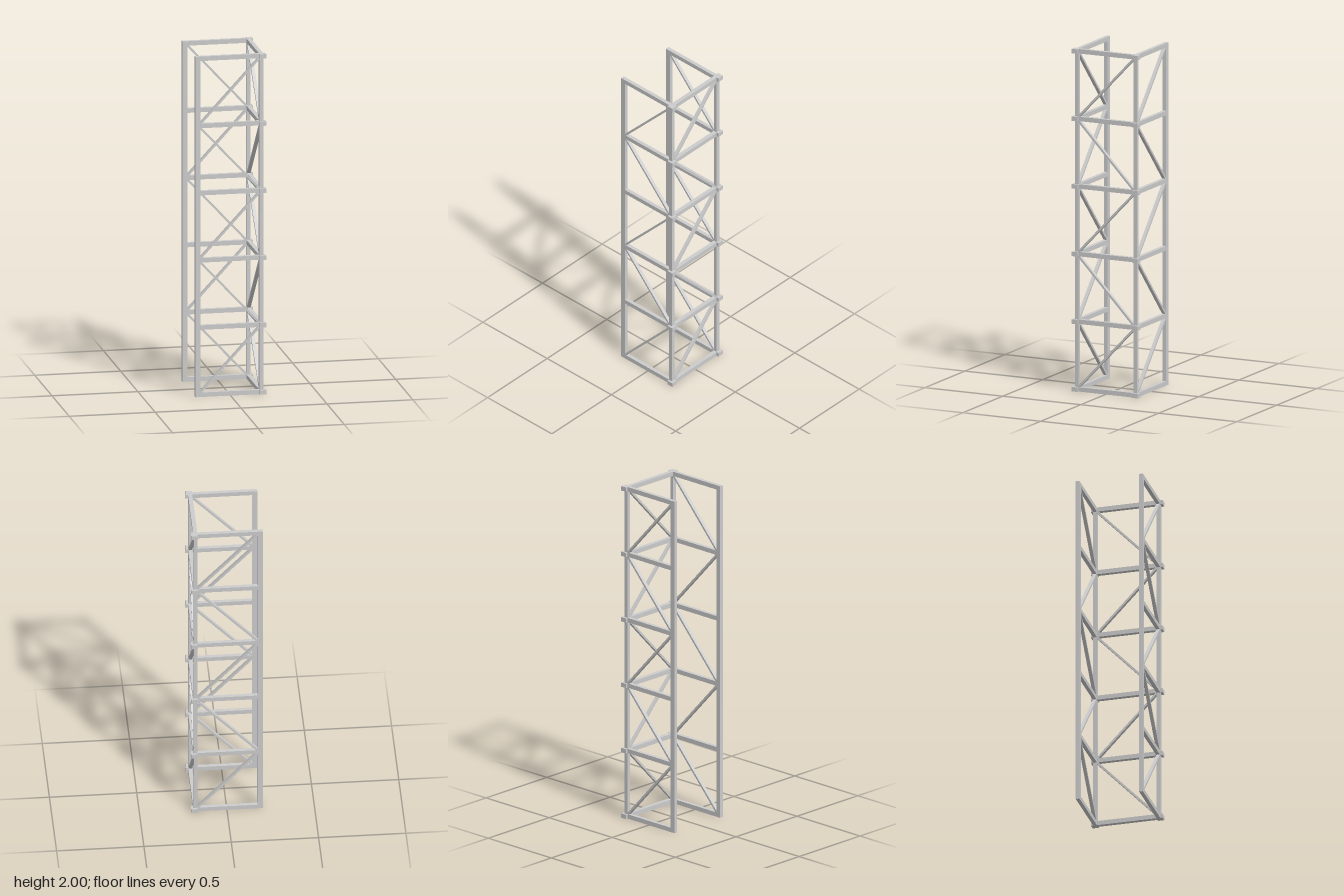
import * as THREE from 'three';

const material = new THREE.MeshStandardMaterial({ color: 0xcccccc });
const BAYS = 5, HEIGHT = 2, RAIL = 0.026, T = 0.022;
const X0 = -0.205, X1 = 0.168, XS = 0.18;      // open edge, inner and centre of braced side
const FRONT = 0.186, BACK = -0.189;            // z of the two wide panels
const PITCH = (HEIGHT - RAIL) / BAYS;
const levelY = i => RAIL / 2 + i * PITCH;

// Axis-aligned bar from its minimum and maximum corners
function bar(parent, name, min, max) {
  const size = max.map((v, i) => v - min[i]);
  const mesh = new THREE.Mesh(new THREE.BoxGeometry(...size), material);
  mesh.position.set(...max.map((v, i) => (v + min[i]) / 2));
  mesh.name = name;
  parent.add(mesh);
}

// Flat diagonal strip in the local xy plane
function brace(parent, name, xa, ya, xb, yb) {
  const mesh = new THREE.Mesh(
    new THREE.BoxGeometry(Math.hypot(xb - xa, yb - ya), 0.012, 0.02), material);
  mesh.position.set((xa + xb) / 2, (ya + yb) / 2, 0);
  mesh.rotation.z = Math.atan2(yb - ya, xb - xa);
  mesh.name = name;
  parent.add(mesh);
}

// One zigzag of braces between xa and xb; parity picks which bays rise
function zigzag(parent, xa, xb, parity) {
  for (let i = 0; i < BAYS; i++) {
    const low = levelY(i) + RAIL / 2 - 0.004, high = levelY(i + 1) - RAIL / 2 + 0.004;
    const rising = i % 2 === parity;
    brace(parent, 'diagonalBrace', xa, rising ? low : high, xb, rising ? high : low);
  }
}

export function createModel() {
  const model = new THREE.Group();
  model.name = 'trussTower';

  // Front and back panels: outer post, corner post, rails and braces
  [[FRONT, 0, 'frontPanel'], [BACK, 1, 'backPanel']].forEach(([z, parity, name]) => {
    const panel = new THREE.Group();
    panel.name = name;
    panel.position.z = z;
    bar(panel, 'outerPost', [X0, 0, -T / 2], [X0 + 0.03, HEIGHT, T / 2]);
    bar(panel, 'cornerPost', [X1, 0.002, -T / 2], [X1 + T, HEIGHT - 0.002, T / 2]);
    for (let i = 0; i <= BAYS; i++) {
      const y = levelY(i);
      bar(panel, 'rail', [X0 + 0.03, y - RAIL / 2, -T / 2], [X1 + 0.005, y + RAIL / 2, T / 2]);
      // Corner joint, pushed slightly outward
      const out = Math.sign(z) * 0.006;
      bar(panel, 'cornerJoint', [X1, y - RAIL / 2, out - 0.0185], [0.205, y + RAIL / 2, out + 0.0185]);
    }
    zigzag(panel, X0 + 0.027, X1 + 0.003, parity);
    model.add(panel);
  });

  // Side panel joining the two corner posts
  const side = new THREE.Group();
  side.name = 'sidePanel';
  for (let i = 0; i <= BAYS; i++) {
    const y = levelY(i);
    bar(side, 'sideRail', [X1, y - RAIL / 2, BACK], [X1 + 0.024, y + RAIL / 2, FRONT]);
  }
  const braces = new THREE.Group();
  braces.name = 'sideBraces';
  braces.position.x = XS;
  braces.rotation.y = Math.PI / 2;   // local +x runs towards the back
  zigzag(braces, -FRONT + 0.008, -BACK - 0.008, 0);
  side.add(braces);
  model.add(side);

  return model;
}
